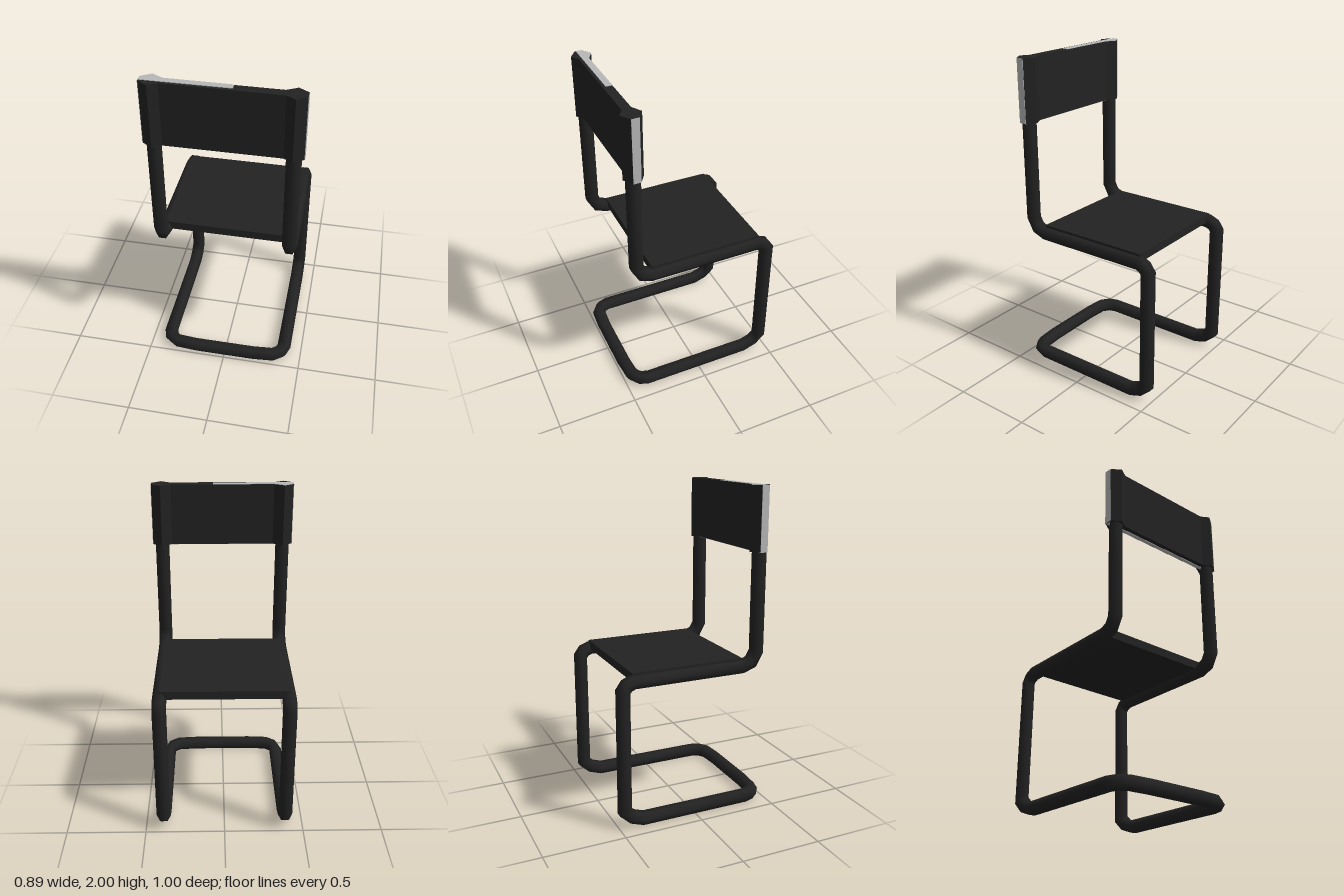
import * as THREE from 'three';

const black = new THREE.MeshStandardMaterial({ color: 0x222222 });
black.name = 'black';
const grey = new THREE.MeshStandardMaterial({ color: 0xb8b8b8 });
grey.name = 'light grey';

// Sweeps a hexagon along a path with mitred corners
function hexTube(path, radius) {
  const sides = 6, last = path.length - 1;
  const dirs = path.slice(1).map((p, i) => p.clone().sub(path[i]).normalize());
  const side = new THREE.Vector3(1, 0, 0);
  const pos = [], index = [];
  path.forEach((p, i) => {
    const before = dirs[Math.max(i - 1, 0)], after = dirs[Math.min(i, last - 1)];
    const normal = before.clone().add(after).normalize();
    const up = new THREE.Vector3().crossVectors(before, side);
    for (let k = 0; k < sides; k++) {
      const a = (k / sides) * Math.PI * 2;
      const o = side.clone().multiplyScalar(Math.cos(a) * radius).addScaledVector(up, Math.sin(a) * radius);
      o.addScaledVector(before, -o.dot(normal) / before.dot(normal));
      pos.push(p.x + o.x, p.y + o.y, p.z + o.z);
      if (i < last) {
        const A = i * sides + k, B = i * sides + (k + 1) % sides;
        index.push(A, B, A + sides, B, B + sides, A + sides);
      }
    }
    side.applyQuaternion(new THREE.Quaternion().setFromUnitVectors(before, after));
  });
  // end caps
  for (let k = 1; k < sides - 1; k++) {
    const e = last * sides;
    index.push(0, k + 1, k, e, e + k, e + k + 1);
  }
  const g = new THREE.BufferGeometry();
  g.setAttribute('position', new THREE.Float32BufferAttribute(pos, 3));
  g.setIndex(index);
  g.computeVertexNormals();
  return g;
}

// Upright prism from an outline given as [x, z] points
function prism(points, bottom, top) {
  const shape = new THREE.Shape(points.map(([x, z]) => new THREE.Vector2(x, z)));
  const g = new THREE.ExtrudeGeometry(shape, { depth: top - bottom, bevelEnabled: false });
  return g.rotateX(Math.PI / 2).translate(0, top, 0);
}

export function createModel() {
  const group = new THREE.Group();
  const add = (name, geometry, material) => {
    const mesh = new THREE.Mesh(geometry, material);
    mesh.name = name;
    group.add(mesh);
    return mesh;
  };

  // One bent tube: post, seat rail, leg, floor runner, cross bar, then mirrored
  const X = 0.387;
  const half = [
    [X, 1.98, 0.413], [X, 1.0, 0.413], [X, 0.937, 0.378], [X, 0.914, 0.315],
    [X, 0.914, -0.395], [X, 0.897, -0.437], [X, 0.863, -0.461],
    [X, 0.107, -0.461], [X, 0.063, -0.413], [X, 0.038, -0.342],
    [X, 0.038, 0.36], [0.37, 0.038, 0.41], [0.32, 0.038, 0.446], [0.19, 0.038, 0.456],
  ].map((p) => new THREE.Vector3(...p));
  const mirrored = half.map((p) => new THREE.Vector3(-p.x, p.y, p.z)).reverse();
  add('frame', hexTube([...half, ...mirrored], 0.0435), black);

  // Seat slab resting on the rails
  add('seat', new THREE.BoxGeometry(0.774, 0.052, 0.719).translate(0, 0.941, -0.043), black);

  // Backrest sleeve wrapping both posts
  const right = [[-0.323, 0.384], [-0.386, 0.349], [-0.445, 0.387], [-0.445, 0.432], [-0.386, 0.471], [-0.333, 0.44]];
  const left = right.map(([x, z]) => [-x, z]).reverse();
  add('backrest', prism([...right, ...left], 1.613, 1.997), black);

  // Pale edges of the backrest
  for (const s of [1, -1]) {
    const edge = new THREE.BoxGeometry(0.003, 0.384, 0.046).translate(s * 0.4455, 1.805, 0.4095);
    add(s > 0 ? 'leftBackrestEdge' : 'rightBackrestEdge', edge, grey);
  }
  add('backrestTopEdge', prism([
    [-0.445, 0.387], [-0.386, 0.349], [-0.323, 0.384], [0.057, 0.384], [0.057, 0.423], [-0.445, 0.423],
  ], 1.997, 2.0), grey);
  add('backrestBottomEdge', prism([
    [-0.44, 0.388], [0.44, 0.388], [0.44, 0.412], [-0.44, 0.412],
  ], 1.61, 1.613), grey);

  return group;
}
